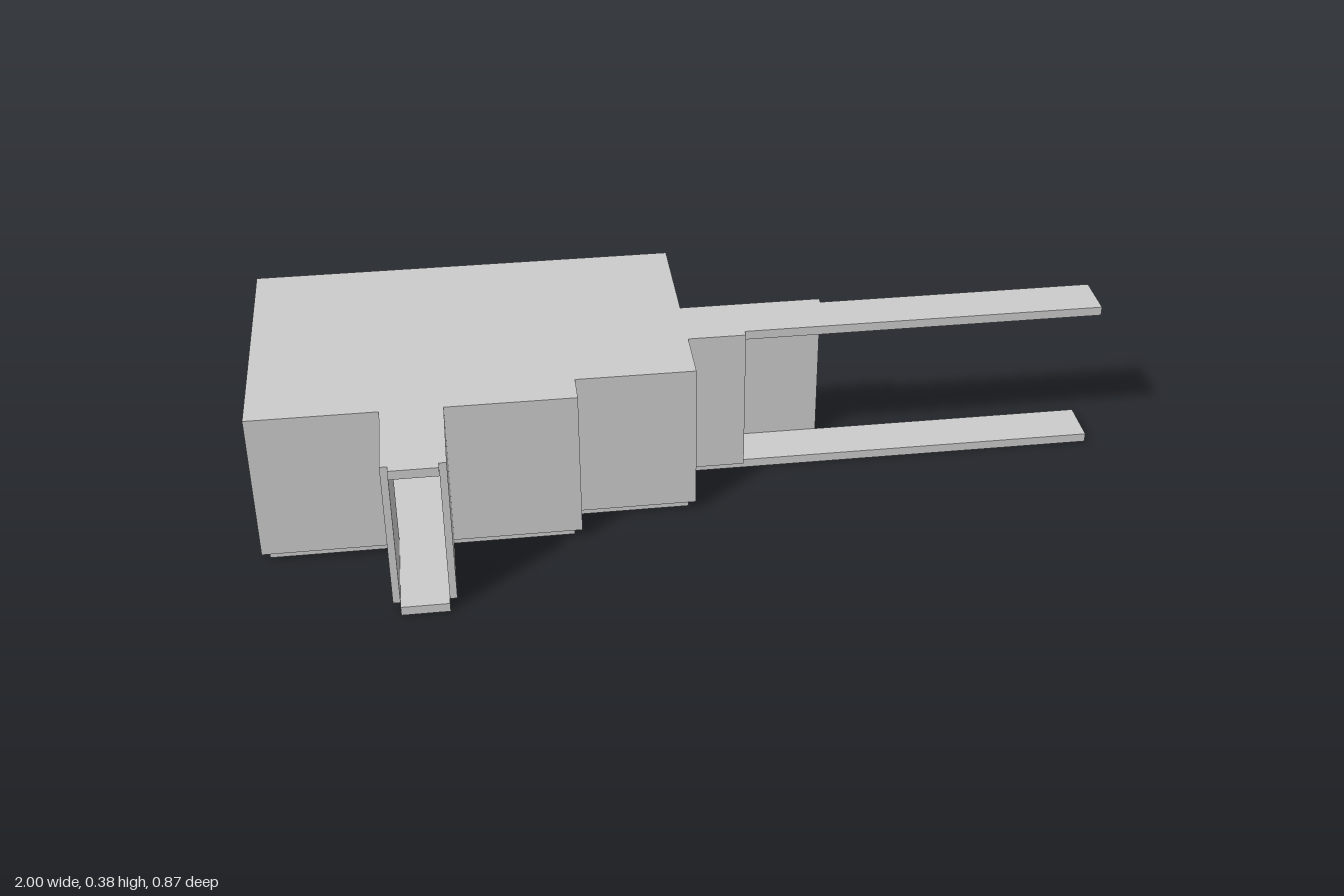
import * as THREE from 'three';

const FLOOR_TOP = 0.022, CEILING_BOTTOM = 0.362, TOP = 0.384;
const WALL = 0.0165; // wall thickness

// Inner faces of the two wall runs, as [x, z] corners
const frontRun = [
  [0.14, -0.03], [-0.012, -0.03], [-0.012, 0.112], [-0.287, 0.112],
  [-0.287, 0.188], [-0.582, 0.188], [-0.582, 0.42],
];
const backRun = [
  [-0.69, 0.42], [-0.69, 0.188], [-0.984, 0.188], [-0.984, -0.42],
  [-0.012, -0.42], [-0.012, -0.142], [0.34, -0.142],
];

// Extrude a plan outline upwards between two heights
function extrudePlan(name, plan, y0, y1) {
  const shape = new THREE.Shape(plan.map(([x, z]) => new THREE.Vector2(x, -z)));
  const geometry = new THREE.ExtrudeGeometry(shape, { depth: y1 - y0, bevelEnabled: false });
  geometry.rotateX(-Math.PI / 2);
  geometry.translate(0, y0, 0);
  const mesh = new THREE.Mesh(geometry, new THREE.MeshStandardMaterial({ color: 0xcccccc }));
  mesh.name = name;
  return mesh;
}

// Shift a right-angled run outwards by the wall thickness
function offsetRun(run) {
  const normals = run.slice(1).map(([x, z], i) => [
    Math.sign(z - run[i][1]), -Math.sign(x - run[i][0]),
  ]);
  return run.map(([x, z], i) => {
    const before = normals[i - 1] ?? [0, 0], after = normals[i] ?? [0, 0];
    return [x + WALL * (before[0] + after[0]), z + WALL * (before[1] + after[1])];
  });
}

function wall(name, run) {
  return extrudePlan(name, [...run, ...offsetRun(run).reverse()], FLOOR_TOP, TOP);
}

export function createModel() {
  const group = new THREE.Group();
  group.name = 'roomWithCorridor';

  // Floor and ceiling share a plan that runs past the open wall ends
  const slabPlan = [
    [1, -0.03], ...frontRun.slice(1, -1), [-0.582, 0.437],
    [-0.69, 0.437], ...backRun.slice(1, -1), [1, -0.142],
  ];
  group.add(
    extrudePlan('floor', slabPlan, 0, FLOOR_TOP),
    extrudePlan('ceiling', slabPlan, CEILING_BOTTOM, TOP),
    wall('frontWalls', frontRun),
    wall('backWalls', backRun),
  );
  return group;
}
